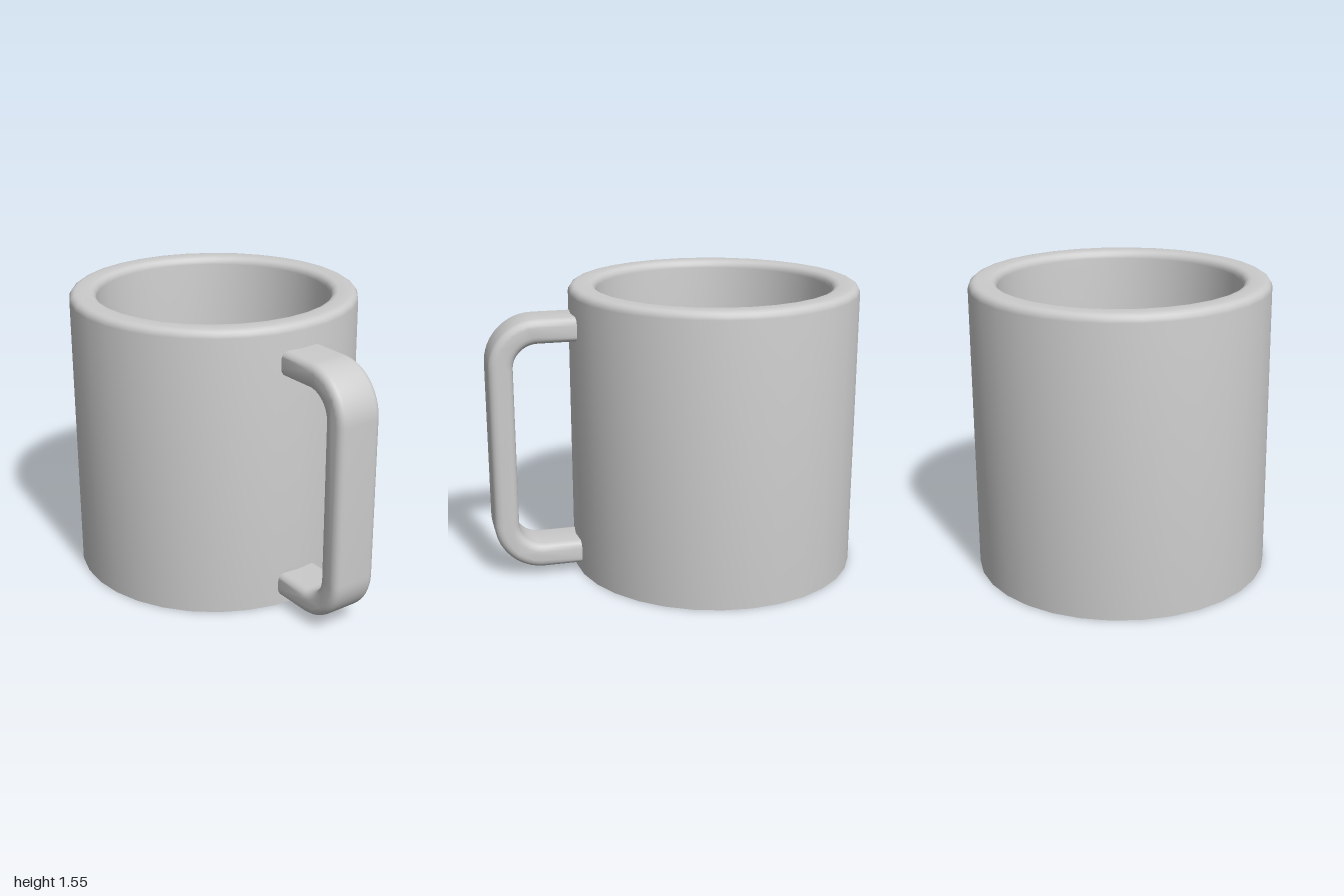
import * as THREE from 'three';
import { toCreasedNormals } from 'three/addons/utils/BufferGeometryUtils.js';

const HEIGHT = 1.55, OUTER = 0.775, INNER = 0.63, FLOOR = 0.14, ROUND = 0.04;
const material = new THREE.MeshStandardMaterial({ color: 0xcccccc });

function makeMesh(name, geometry) {
  const mesh = new THREE.Mesh(toCreasedNormals(geometry, 0.7), material);
  mesh.name = name;
  return mesh;
}

// Hollow body: outside wall, rounded rim, inside wall and floor in one profile
function cupBody() {
  const profile = [[0, 0], [OUTER, 0]];
  const steps = 4;
  for (const [cx, start] of [[OUTER - ROUND, 0], [INNER + ROUND, Math.PI / 2]]) {
    for (let i = 0; i <= steps; i++) {
      const a = start + (i / steps) * Math.PI / 2;
      profile.push([cx + ROUND * Math.cos(a), HEIGHT - ROUND + ROUND * Math.sin(a)]);
    }
  }
  profile.push([INNER, FLOOR], [0, FLOOR]);
  return new THREE.LatheGeometry(profile.map(([x, y]) => new THREE.Vector2(x, y)), 32);
}

// C-shaped handle: flat bar with rounded long edges, its ends sunk into the wall
function cupHandle() {
  const root = 0.48, right = 1, low = 0.05, high = 1.418, thick = 0.13, width = 0.255;
  const outerR = 0.26, innerR = outerR - thick;
  const cx = right - outerR, lowY = low + outerR, highY = high - outerR;
  const q = Math.PI / 2;
  const shape = new THREE.Shape();
  shape.moveTo(root, low);
  shape.lineTo(cx, low);
  shape.absarc(cx, lowY, outerR, -q, 0, false);
  shape.lineTo(right, highY);
  shape.absarc(cx, highY, outerR, 0, q, false);
  shape.lineTo(root, high);
  shape.lineTo(root, high - thick);
  shape.lineTo(cx, high - thick);
  shape.absarc(cx, highY, innerR, q, 0, true);
  shape.lineTo(right - thick, lowY);
  shape.absarc(cx, lowY, innerR, 0, -q, true);
  shape.lineTo(root, low + thick);
  shape.closePath();
  const depth = width - 2 * ROUND;
  return new THREE.ExtrudeGeometry(shape, {
    depth, curveSegments: 8, bevelEnabled: true, bevelThickness: ROUND,
    bevelSize: ROUND, bevelOffset: -ROUND, bevelSegments: 4,
  }).translate(0, 0, -depth / 2);
}

export function createModel() {
  const mug = new THREE.Group();
  mug.name = 'mug';
  const body = makeMesh('body', cupBody());
  body.position.x = OUTER - 1;
  mug.add(body, makeMesh('handle', cupHandle()));
  return mug;
}
